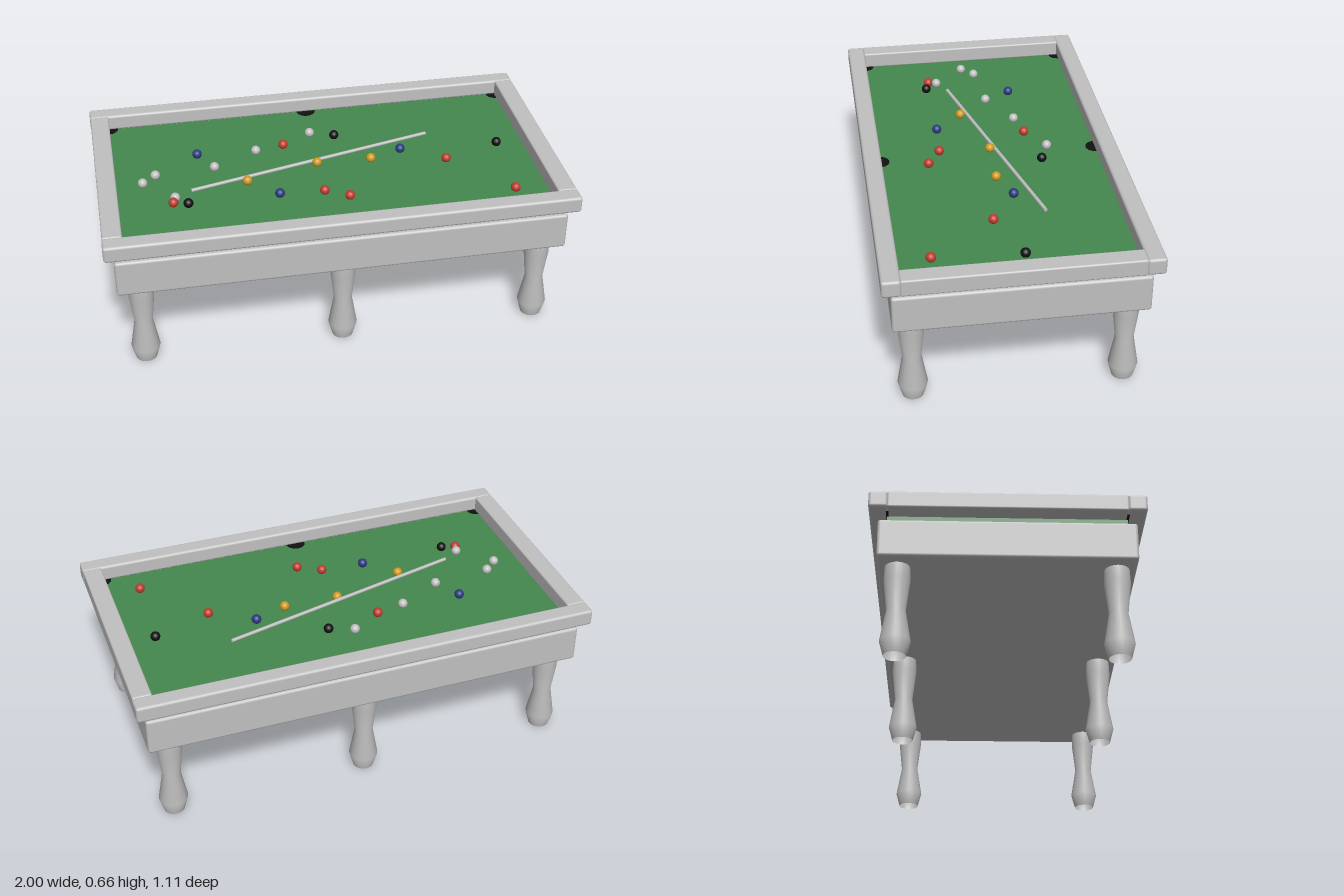
import * as THREE from 'three';
import { RoundedBoxGeometry } from 'three/addons/geometries/RoundedBoxGeometry.js';

const mat = (name, color, side = THREE.FrontSide) => {
  const m = new THREE.MeshStandardMaterial({ color, side });
  m.name = name;
  return m;
};

export function createModel() {
  const table = new THREE.Group();
  table.name = 'poolTable';

  const grey = mat('grey', 0xc0c0c0, THREE.DoubleSide);
  const green = mat('green', 0x45884f);
  const black = mat('black', 0x111111);
  const red = mat('red', 0xc23b2e);
  const blue = mat('blue', 0x2a3b80);
  const yellow = mat('yellow', 0xcf9a20);

  const add = (name, geometry, material, x, y, z) => {
    const mesh = new THREE.Mesh(geometry, material);
    mesh.name = name;
    mesh.position.set(x, y, z);
    table.add(mesh);
    return mesh;
  };

  // Body and cloth bed
  add('body', new RoundedBoxGeometry(1.92, 0.165, 1.036, 3, 0.012), grey, 0, 0.4725, 0);
  add('cloth', new THREE.BoxGeometry(1.844, 0.047, 0.966), green, 0, 0.5685, 0);

  // Long side rails and shorter end rails between them
  const sideRail = new RoundedBoxGeometry(2, 0.073, 0.078, 3, 0.012);
  const endRail = new RoundedBoxGeometry(0.082, 0.073, 0.964, 3, 0.008);
  for (const s of [-1, 1]) {
    add('sideRail', sideRail, grey, 0, 0.6265, s * 0.517);
    add('endRail', endRail, grey, s * 0.957, 0.6265, 0);
  }

  // Turned legs, three along each side, open at the foot
  const profile = [[0.045, 0], [0.062, 0.063], [0.039, 0.197], [0.054, 0.33], [0.051, 0.395]]
    .map(([r, y]) => new THREE.Vector2(r, y));
  const leg = new THREE.LatheGeometry(profile, 24);
  for (const x of [-0.86, 0, 0.86])
    for (const s of [-1, 1]) add('leg', leg, grey, x, 0, s * 0.438);

  // Six pockets as thin discs partly hidden by the rails
  const pocket = new THREE.CylinderGeometry(0.043, 0.043, 0.004, 20);
  for (const x of [-0.92, 0, 0.92])
    for (const s of [-1, 1]) add('pocket', pocket, black, x, 0.5925, s * 0.482);

  // Balls, grouped by colour as [x, z]
  const ball = new THREE.SphereGeometry(0.021, 20, 14);
  const balls = [
    [grey, [[-0.02, -0.265], [-0.283, -0.158], [-0.481, -0.056], [-0.743, -0.035], [-0.802, 0.019], [-0.674, 0.155]]],
    [black, [[0.086, -0.225], [0.797, -0.032], [-0.623, 0.208]]],
    [red, [[-0.155, -0.185], [0.54, 0.058], [0.775, 0.342], [-0.037, 0.214], [0.062, 0.272], [-0.685, 0.192]]],
    [blue, [[-0.545, -0.174], [0.356, -0.056], [-0.23, 0.203]]],
    [yellow, [[-0.03, -0.011], [0.211, -0.003], [-0.353, 0.08]]],
  ];
  for (const [material, spots] of balls)
    for (const [x, z] of spots) add('ball', ball, material, x, 0.607, z);

  // Cue lying across the cloth
  const a = new THREE.Vector3(-0.6, 0.604, 0.11);
  const b = new THREE.Vector3(0.5, 0.604, -0.168);
  const mid = a.clone().lerp(b, 0.5);
  const cue = add('cue', new THREE.CylinderGeometry(0.008, 0.008, a.distanceTo(b), 12), grey, mid.x, mid.y, mid.z);
  cue.quaternion.setFromUnitVectors(new THREE.Vector3(0, 1, 0), b.clone().sub(a).normalize());

  return table;
}
